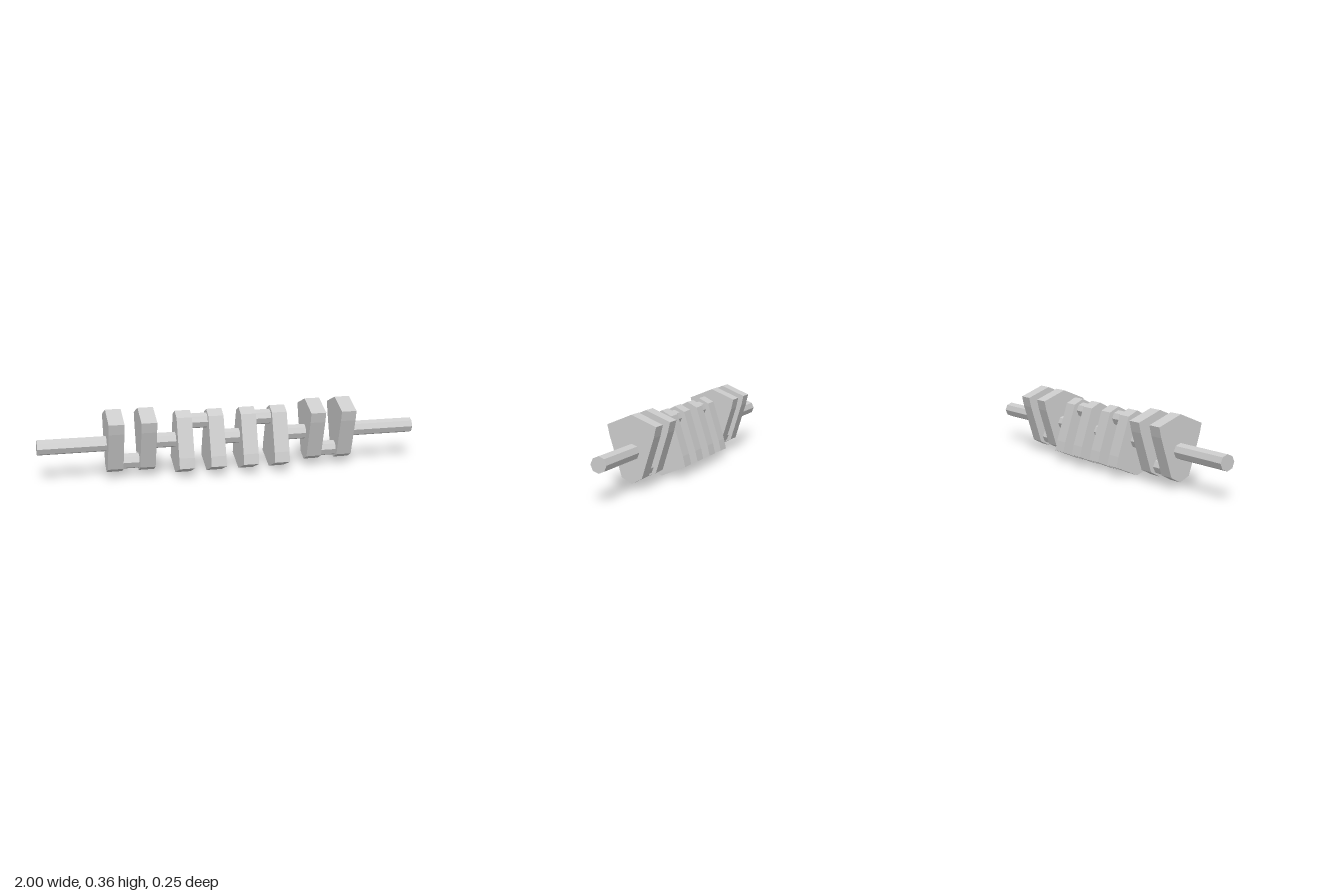
import * as THREE from 'three';

const material = new THREE.MeshStandardMaterial({ color: 0xcccccc, flatShading: true });
const AXIS_Y = 0.18, WEB = 0.08, RADIUS = 0.04;

// Counterweighted web, heavy end up, centred on the shaft axis
function webGeometry() {
  const half = [[0, 0.178], [0.126, 0.126], [0.114, 0.073], [0.052, -0.125]];
  const points = half.map(([z, y]) => new THREE.Vector2(-z, y));
  points.push(new THREE.Vector2(0, -0.152));
  for (const [z, y] of half.slice(1).reverse()) points.push(new THREE.Vector2(z, y));
  const geometry = new THREE.ExtrudeGeometry(new THREE.Shape(points), { depth: WEB, bevelEnabled: false });
  return geometry.translate(0, 0, -WEB / 2).rotateY(Math.PI / 2);
}

// Eight-sided bar along x
function bar(name, x0, x1, y) {
  const geometry = new THREE.CylinderGeometry(RADIUS, RADIUS, x1 - x0, 8).rotateZ(Math.PI / 2);
  const mesh = new THREE.Mesh(geometry, material);
  mesh.name = name;
  mesh.position.set((x0 + x1) / 2, y, 0);
  return mesh;
}

export function createModel() {
  const crankshaft = new THREE.Group();
  crankshaft.name = 'crankshaft';
  const web = webGeometry();

  // Four throws: the outer pair hang down, the inner pair point up
  const throws = [
    { x: -0.527, up: false }, { x: -0.169, up: true },
    { x: 0.169, up: true }, { x: 0.527, up: false },
  ];
  const spread = 0.083;
  for (const { x, up } of throws) {
    const crankThrow = new THREE.Group();
    crankThrow.name = 'crankThrow';
    for (const side of [-1, 1]) {
      const mesh = new THREE.Mesh(web, material);
      mesh.name = 'counterweightWeb';
      mesh.position.set(x + side * spread, AXIS_Y, 0);
      if (up) mesh.rotation.x = Math.PI;
      crankThrow.add(mesh);
    }
    crankThrow.add(bar('crankPin', x - spread, x + spread, up ? 0.273 : 0.081));
    crankshaft.add(crankThrow);
  }

  // Main journals between the throws, and the long end shafts
  const stops = [-1, ...throws.flatMap(({ x }) => [x - spread, x + spread]), 1];
  for (let i = 0; i < stops.length; i += 2) {
    const isEnd = i === 0 || i === stops.length - 2;
    crankshaft.add(bar(isEnd ? 'endShaft' : 'mainJournal', stops[i], stops[i + 1], AXIS_Y));
  }
  return crankshaft;
}
